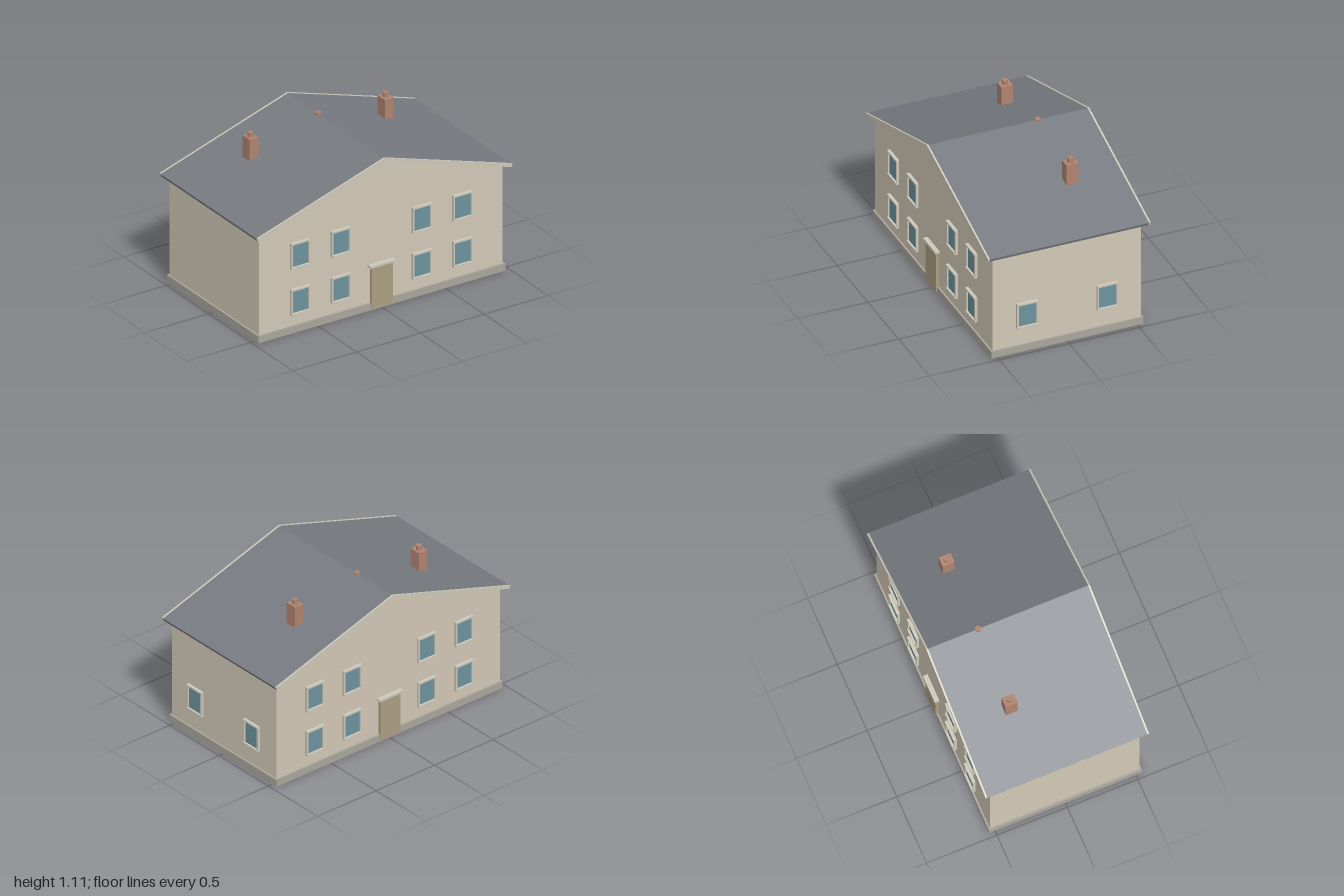
import * as THREE from 'three';

const mat = (color) => new THREE.MeshStandardMaterial({ color });

export function createModel() {
  const house = new THREE.Group();
  house.name = 'house';
  const wallMat = mat(0xd2c8b7), trimMat = mat(0xcdc9bb), roofMat = mat(0x777b81);
  const glassMat = mat(0x6d929e), brickMat = mat(0xb08470), doorMat = mat(0xab9f82), baseMat = mat(0xaaa69d);

  const add = (parent, name, geometry, material, x = 0, y = 0, z = 0) => {
    const mesh = new THREE.Mesh(geometry, material);
    mesh.name = name;
    mesh.position.set(x, y, z);
    parent.add(mesh);
    return mesh;
  };
  const box = (parent, name, material, w, h, d, x, y, z) =>
    add(parent, name, new THREE.BoxGeometry(w, h, d), material, x, y, z);
  // Extrude an outline along z, from z0 to z1
  const extrude = (name, points, material, z0, z1) => {
    const shape = new THREE.Shape(points.map(([x, y]) => new THREE.Vector2(x, y)));
    return add(house, name, new THREE.ExtrudeGeometry(shape, { depth: z1 - z0, bevelEnabled: false }), material, 0, 0, z0);
  };

  // Plinth and gabled walls
  box(house, 'plinth', baseMat, 1.936, 0.052, 1.086, 0, 0.026, 0);
  extrude('walls', [[-0.955, 0.05], [0.955, 0.05], [0.955, 0.787], [0, 1.088], [-0.955, 0.787]], wallMat, -0.53, 0.53);

  // Roof slab with a bargeboard along each gable
  const gable = (ridge, eave, under) => [
    [-1, eave], [-0.994, under], [0, ridge - 0.021], [0.994, under], [1, eave], [0, ridge],
  ];
  extrude('roof', gable(1.102, 0.785, 0.766), roofMat, -0.568, 0.568);
  for (const s of [-1, 1]) {
    const inner = 0.568 * s, outer = 0.58 * s;
    extrude(s > 0 ? 'frontBargeboard' : 'backBargeboard', gable(1.105, 0.788, 0.764),
      trimMat, Math.min(inner, outer), Math.max(inner, outer));
  }

  // Window facing +z, its back on the wall plane
  const makeWindow = () => {
    const g = new THREE.Group();
    g.name = 'window';
    const w = 0.15, h = 0.187, t = 0.012;
    for (const s of [-1, 1]) {
      box(g, 'frameSide', trimMat, t, h - 2 * t, 0.018, s * (w - t) / 2, 0, 0.009);
      box(g, 'frameRail', trimMat, w, t, 0.023, 0, s * (h - t) / 2, 0.0115);
    }
    box(g, 'glass', glassMat, w - 2 * t, h - 2 * t, 0.008, 0, 0, 0.004);
    return g;
  };

  // Front and back facades: eight windows, a door and its lintel
  for (const [name, s] of [['frontFacade', 1], ['backFacade', -1]]) {
    const facade = new THREE.Group();
    facade.name = name;
    for (const x of [-0.638, -0.32, 0.317, 0.635]) {
      for (const y of [0.227, 0.564]) {
        const win = makeWindow();
        win.position.set(x, y, s * 0.53);
        if (s < 0) win.rotation.y = Math.PI;
        facade.add(win);
      }
    }
    box(facade, 'door', doorMat, 0.168, 0.303, 0.03, -0.002, 0.1635, s * 0.536);
    box(facade, 'doorLintel', trimMat, 0.2, 0.016, 0.034, -0.002, 0.322, s * 0.546);
    house.add(facade);
  }

  // Two windows on the +x side wall
  for (const z of [-0.286, 0.286]) {
    const win = makeWindow();
    win.name = 'sideWindow';
    win.position.set(0.955, 0.277, z);
    win.rotation.y = Math.PI / 2;
    house.add(win);
  }

  // Chimneys with pots, and a small vent on the ridge
  const pot = new THREE.CylinderGeometry(0.02, 0.02, 0.06, 24);
  for (const x of [-0.53, 0.53]) {
    box(house, 'chimney', brickMat, 0.07, 0.18, 0.084, x, 0.99, -0.212);
    add(house, 'chimneyPot', pot, brickMat, x, 1.083, -0.212);
  }
  add(house, 'ridgeVent', pot, brickMat, 0, 1.083, -0.212);

  return house;
}
